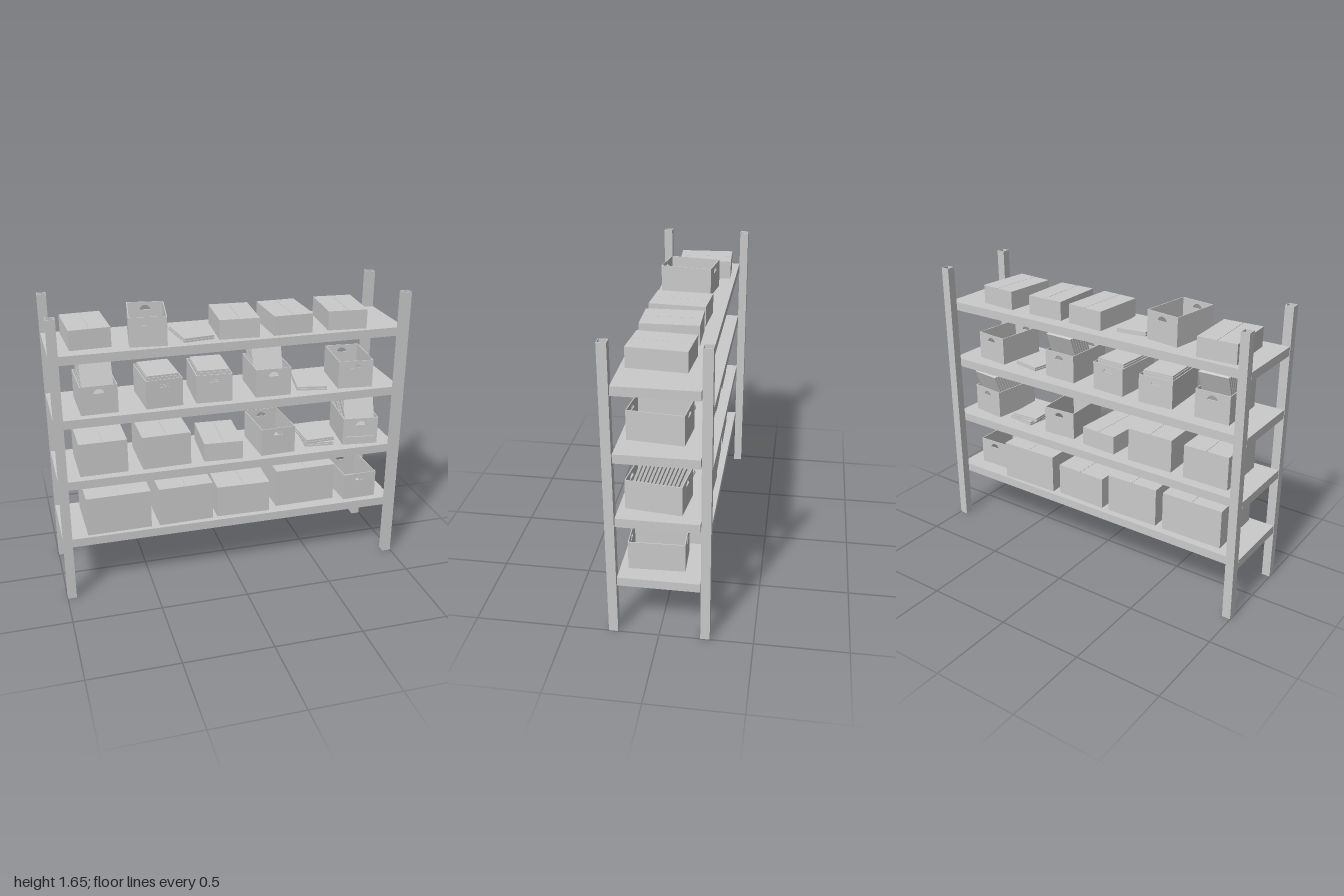
import * as THREE from 'three';

const mat = new THREE.MeshStandardMaterial({ color: 0xcccccc, flatShading: true });
const T = 0.005; // cardboard thickness

function mesh(name, geo, x = 0, y = 0, z = 0) {
  const m = new THREE.Mesh(geo, mat);
  m.name = name;
  m.position.set(x, y, z);
  return m;
}

// box standing on y
const block = (name, w, h, d, x = 0, y = 0, z = 0) =>
  mesh(name, new THREE.BoxGeometry(w, h, d), x, y + h / 2, z);

function group(name, ...parts) {
  const g = new THREE.Group();
  g.name = name;
  if (parts.length) g.add(...parts);
  return g;
}

function rect(w, h, Path = THREE.Shape) {
  const p = new Path();
  p.moveTo(-w / 2, -h / 2);
  p.lineTo(w / 2, -h / 2);
  p.lineTo(w / 2, h / 2);
  p.lineTo(-w / 2, h / 2);
  p.closePath();
  return p;
}

// hollow square upright
function post(x, z) {
  const s = rect(0.05, 0.05);
  s.holes.push(rect(0.042, 0.042, THREE.Path));
  const g = new THREE.ExtrudeGeometry(s, { depth: 1.65, bevelEnabled: false });
  g.rotateX(-Math.PI / 2);
  return mesh('post', g, x, 0, z);
}

// closed carton: body and two top flaps meeting at a seam
function closedBox(w, h, d) {
  const flap = w / 2 - 0.001;
  return group('closedBox',
    block('boxBody', w, h - 0.003, d),
    block('topFlap', flap, 0.003, d, -w / 4 - 0.0005, h - 0.003),
    block('topFlap', flap, 0.003, d, w / 4 + 0.0005, h - 0.003));
}

// end wall with a half-round hand hole
function handleWall(w, h) {
  const s = rect(w, h);
  const hole = new THREE.Path();
  hole.absellipse(0, h / 2 - 0.044, 0.029, 0.026, 0, Math.PI, false);
  hole.closePath();
  s.holes.push(hole);
  return new THREE.ExtrudeGeometry(s, { depth: T, bevelEnabled: false, curveSegments: 12 });
}

function openBox(w, h, d) {
  const wall = handleWall(w, h);
  return group('openBox',
    block('boxFloor', w - 2 * T, T, d - 2 * T),
    mesh('frontWall', wall, 0, h / 2, d / 2 - T),
    mesh('backWall', wall, 0, h / 2, -d / 2),
    block('sideWall', T, h, d - 2 * T, -w / 2 + T / 2),
    block('sideWall', T, h, d - 2 * T, w / 2 - T / 2));
}

// folded flat carton: two sheets, the upper one slightly smaller
function flatBox(w = 0.175, d = 0.25, h = 0.022) {
  return group('flatBox',
    block('lowerSheet', w, h * 0.45, d),
    block('foldCore', w - 0.008, h * 0.1, d - 0.008, 0, h * 0.45),
    block('upperSheet', w - 0.003, h * 0.45, d - 0.003, 0, h * 0.55));
}

// open box with leaning sheets; z0 is where the first one crosses the rim
function fileBox(w, h, d, z0) {
  const g = openBox(w, h, d);
  g.name = 'fileBox';
  const tilt = 0.36, len = 0.235;
  for (let z = z0; z > -0.122; z -= 0.02) {
    const s = block('leaningSheet', w - 0.03, len, 0.013);
    s.rotation.x = -tilt;
    const up = 0.1 - (len / 2) * Math.cos(tilt);
    s.position.set(0, h + up, z - up * Math.tan(tilt));
    g.add(s);
  }
  return g;
}

// open box filled to above the rim with flat cartons
function filledBox(w, h, d) {
  const g = openBox(w, h, d);
  g.name = 'filledBox';
  for (let y = h - 0.138; y < h; y += 0.0225) {
    const f = flatBox(w - 0.025, 0.25, 0.0215);
    f.position.set(0, y, 0);
    g.add(f);
  }
  return g;
}

export function createModel() {
  const root = group('shelvingUnit');

  // uprights
  for (const x of [-0.975, 0.975])
    for (const z of [-0.245, 0.245]) root.add(post(x, z));

  // shelves
  const tops = [0.35, 0.71, 1.075, 1.435];
  for (const y of tops) root.add(block('shelf', 1.998, 0.05, 0.432, 0, y - 0.05));

  const put = (level, obj, x, z, turn, lift = 0) => {
    obj.position.set(x, tops[level] + lift, z);
    obj.rotation.y = turn;
    root.add(obj);
  };
  const low = () => closedBox(0.225, 0.11, 0.315);
  const open = () => openBox(0.205, 0.163, 0.3);

  // bottom shelf: large cartons and one open box
  put(0, closedBox(0.368, 0.23, 0.36), -0.672, 0.01, 0.015);
  put(0, closedBox(0.318, 0.23, 0.36), -0.282, 0.005, 0.02);
  put(0, closedBox(0.316, 0.19, 0.36), 0.072, 0, -0.025);
  put(0, closedBox(0.366, 0.23, 0.34), 0.462, -0.025, 0.02);
  put(0, open(), 0.803, 0.025, 0.03);

  // second shelf
  put(1, closedBox(0.27, 0.195, 0.32), -0.738, 0.005, 0.01);
  put(1, closedBox(0.278, 0.195, 0.32), -0.382, 0.005, 0.02);
  put(1, low(), -0.04, 0.01, -0.06);
  put(1, open(), 0.272, 0.02, 0.05);
  put(1, flatBox(), 0.565, 0.01, -0.12);
  put(1, flatBox(), 0.55, 0.01, 0.04, 0.026);
  put(1, fileBox(0.21, 0.165, 0.3, 0.1), 0.81, 0.02, -0.12);

  // third shelf
  put(2, fileBox(0.205, 0.163, 0.3, 0.09), -0.745, 0.018, 0.02);
  put(2, filledBox(0.208, 0.163, 0.3), -0.392, 0.018, 0.055);
  put(2, filledBox(0.205, 0.163, 0.3), -0.095, 0.018, -0.05);
  put(2, fileBox(0.205, 0.163, 0.3, 0.01), 0.247, 0.018, -0.03);
  put(2, flatBox(), 0.508, 0.02, -0.19);
  put(2, open(), 0.755, 0.018, -0.1);

  // top shelf
  put(3, low(), -0.775, -0.025, 0.05);
  put(3, open(), -0.445, 0.03, -0.14);
  put(3, flatBox(), -0.197, 0.03, 0.13);
  put(3, low(), 0.05, 0.015, -0.065);
  put(3, low(), 0.345, 0.02, 0.015);
  put(3, low(), 0.68, 0.02, -0.08);

  return root;
}
